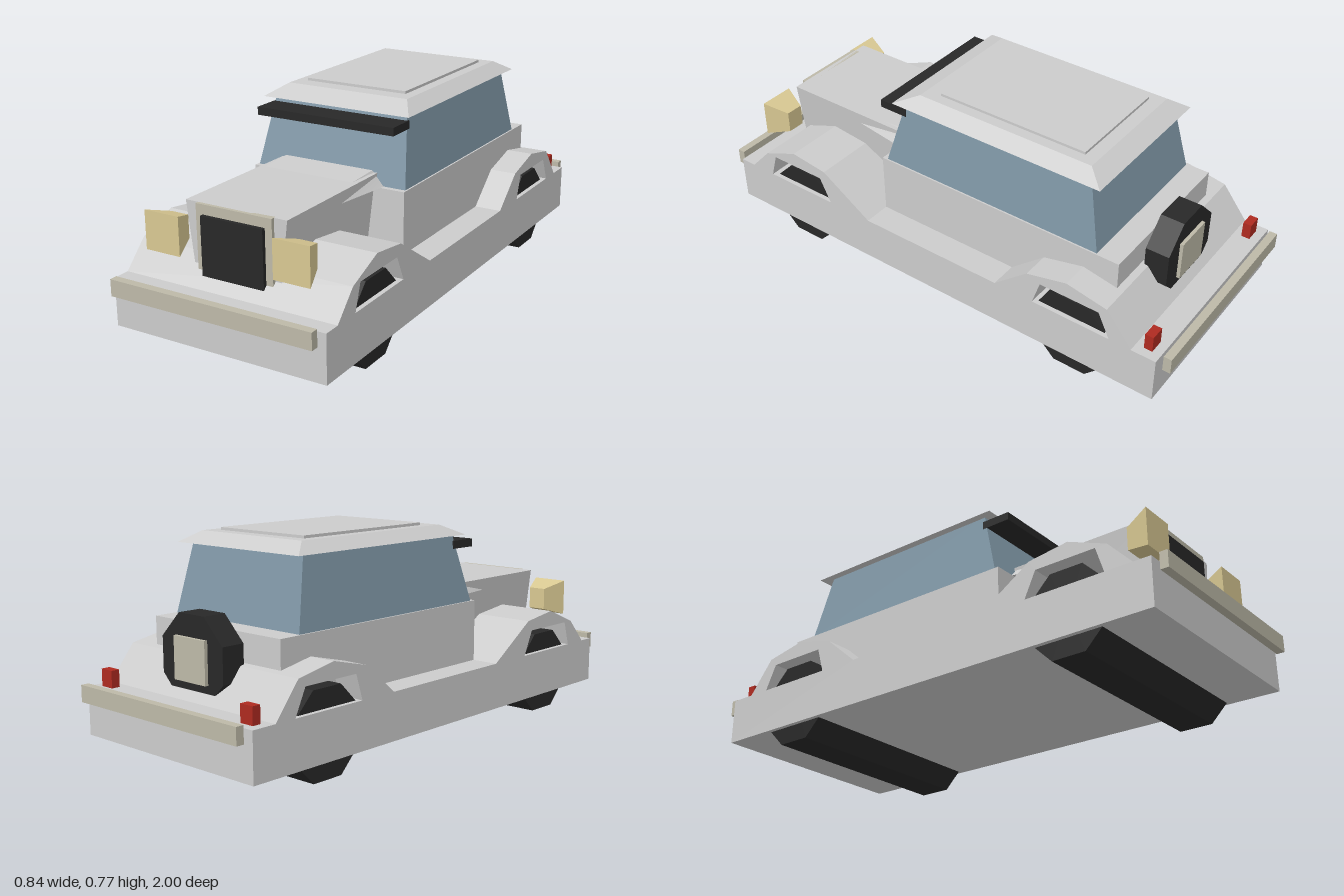
import * as THREE from 'three';

const mat = (name, color) => {
  const m = new THREE.MeshStandardMaterial({ color });
  m.name = name;
  return m;
};

export function createModel() {
  const paint = mat('silver paint', 0xcccccc);
  const glass = mat('blue glass', 0x7f96a5);
  const black = mat('black rubber', 0x282828);
  const trim = mat('warm grey trim', 0xbdb9a8);
  const lampMat = mat('pale yellow lamp', 0xd8c892);
  const red = mat('red lamp', 0xae2a20);

  const car = new THREE.Group();
  car.name = 'car';

  const add = (name, geometry, material) => {
    const mesh = new THREE.Mesh(geometry, material);
    mesh.name = name;
    car.add(mesh);
    return mesh;
  };

  // Box given by its limits on each axis
  const box = (name, x0, x1, y0, y1, z0, z1, material) => {
    const g = new THREE.BoxGeometry(x1 - x0, y1 - y0, z1 - z0);
    g.translate((x0 + x1) / 2, (y0 + y1) / 2, (z0 + z1) / 2);
    return add(name, g, material);
  };

  // Unit box whose corners are moved by a rule: (x, y, z) in 0..1 -> position
  const warped = (name, rule, material) => {
    const g = new THREE.BoxGeometry(1, 1, 1);
    const p = g.attributes.position;
    for (let i = 0; i < p.count; i++) {
      p.setXYZ(i, ...rule(p.getX(i) + 0.5, p.getY(i) + 0.5, p.getZ(i) + 0.5));
    }
    g.computeVertexNormals();
    return add(name, g, material);
  };
  const mix = THREE.MathUtils.lerp;

  // Lower body and fenders: side profile (z, y) with wheel openings
  const pts = (list) => list.map(([a, b]) => new THREE.Vector2(a, b));
  const profile = new THREE.Shape(pts([
    [-0.955, 0.065], [0.955, 0.065], [0.955, 0.24], [0.89, 0.24],
    [0.8, 0.335], [0.65, 0.395], [0.495, 0.375], [0.285, 0.24],
    [-0.305, 0.24], [-0.44, 0.355], [-0.6, 0.395], [-0.76, 0.365],
    [-0.86, 0.24], [-0.955, 0.24],
  ]));
  for (const z of [0.63, -0.62]) {
    profile.holes.push(new THREE.Path(pts([
      [z - 0.155, 0.24], [z - 0.11, 0.335], [z + 0.125, 0.335], [z + 0.155, 0.24],
    ])));
  }
  const bodyGeo = new THREE.ExtrudeGeometry(profile, { depth: 0.84, bevelEnabled: false });
  bodyGeo.rotateY(-Math.PI / 2).translate(0.42, 0, 0);
  add('lowerBody', bodyGeo, paint);

  // Octagonal wheel rollers
  const octagon = (apothem, width) => new THREE.CylinderGeometry(
    apothem / Math.cos(Math.PI / 8), apothem / Math.cos(Math.PI / 8), width, 8
  ).rotateY(Math.PI / 8).toNonIndexed();
  for (const [name, z] of [['frontWheels', 0.63], ['rearWheels', -0.615]]) {
    const g = octagon(0.155, 0.806).rotateZ(Math.PI / 2).translate(0, 0.155, z);
    g.computeVertexNormals();
    add(name, g, black);
  }

  // Cabin: lower box, glass, visor and roof
  box('cabinBase', -0.315, 0.315, 0.2, 0.472, -0.735, 0.285, paint);
  warped('windows', (x, y, z) => [
    (x * 2 - 1) * mix(0.309, 0.273, y),
    mix(0.472, 0.735, y),
    mix(mix(-0.645, -0.588, y), mix(0.265, 0.19, y), z),
  ], glass);
  box('visor', -0.282, 0.282, 0.673, 0.703, 0.19, 0.305, black);
  warped('roof', (x, y, z) => [
    (x * 2 - 1) * mix(0.303, 0.248, y),
    mix(0.725, 0.765, y),
    mix(mix(-0.638, -0.57, y), mix(0.235, 0.147, y), z),
  ], paint);
  box('roofPanel', -0.208, 0.208, 0.764, 0.775, -0.52, 0.085, paint);

  // Hood with sides leaning out towards the top, and the flare by the windscreen
  warped('hood', (x, y, z) => [
    (x * 2 - 1) * mix(0.164, 0.2, y), mix(0.22, 0.52, y), mix(0.27, 0.83, z),
  ], paint);
  warped('cowlFlare', (x, y, z) => [
    (x * 2 - 1) * mix(mix(0.228, 0.182, y), mix(0.193, 0.18, y), z),
    mix(0.475, mix(0.528, 0.518, z), y),
    mix(0.275, mix(0.51, 0.44, y), z),
  ], paint);

  // Radiator
  box('radiatorSurround', -0.15, 0.15, 0.25, 0.52, 0.81, 0.843, trim);
  box('grille', -0.123, 0.123, 0.27, 0.485, 0.82, 0.857, black);

  // Lamps on both sides
  for (const s of [-1, 1]) {
    const side = s > 0 ? 'left' : 'right';
    warped(side + 'Headlight', (x, y, z) => [
      s * 0.255 + (x * 2 - 1) * mix(0.035, 0.07, z),
      0.411 + (y * 2 - 1) * mix(0.042, 0.07, z),
      mix(0.798, 0.893, z),
    ], lampMat);
    box(side + 'TailLight', s * 0.357 - 0.028, s * 0.357 + 0.028, 0.235, 0.302, -0.922, -0.89, red);
  }

  // Bumpers
  box('frontBumper', -0.397, 0.397, 0.195, 0.256, 0.97, 1, trim);
  box('rearBumper', -0.397, 0.397, 0.195, 0.256, -1, -0.97, trim);

  // Spare wheel and its square hub plate
  const spare = octagon(0.152, 0.09).rotateX(Math.PI / 2).translate(0, 0.375, -0.79);
  spare.computeVertexNormals();
  add('spareWheel', spare, black);
  box('spareHub', -0.078, 0.078, 0.3, 0.45, -0.848, -0.83, trim);

  return car;
}
